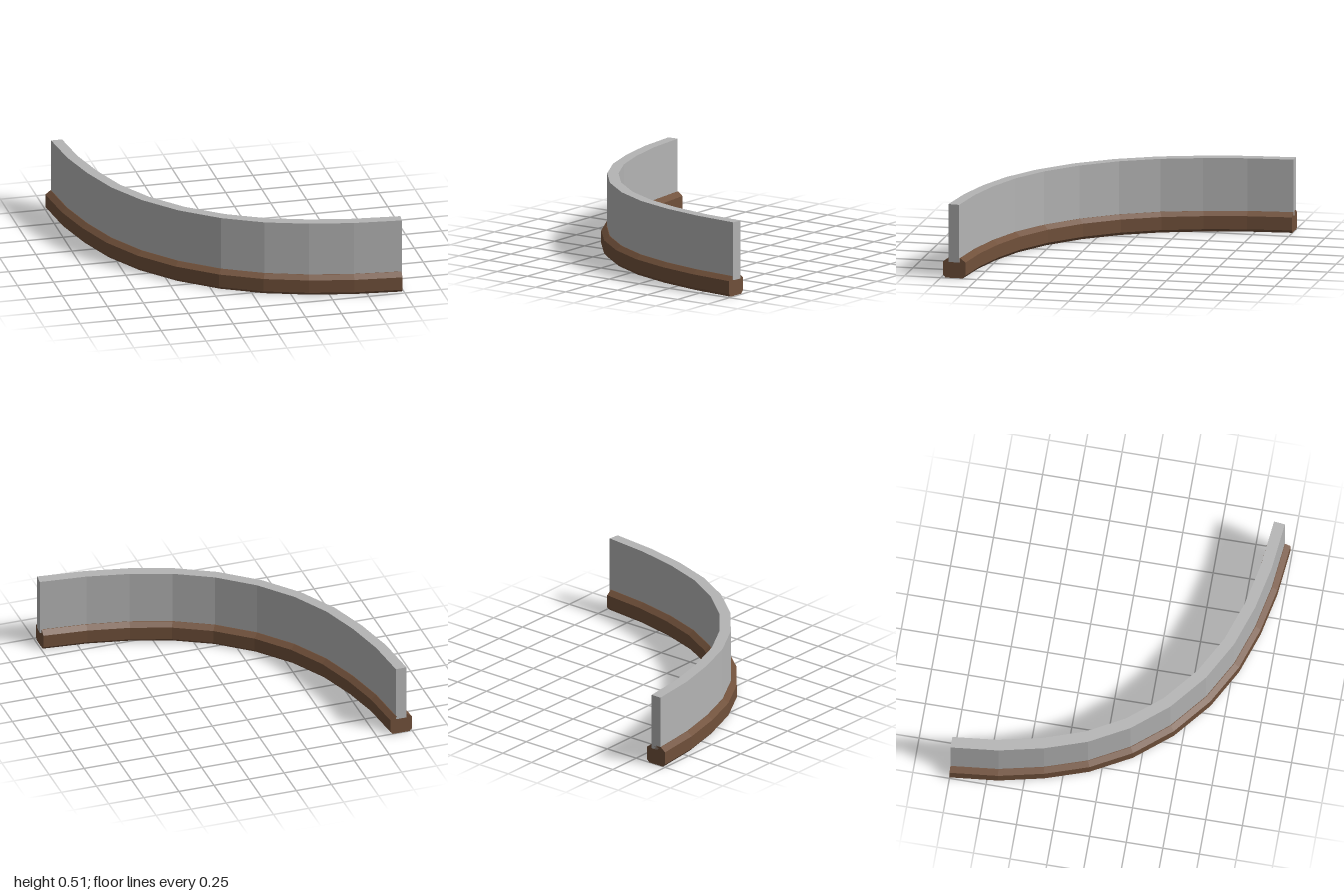
import * as THREE from 'three';

// Centre line of the curved wall in plan (x, z), from the back left to the front right.
const path = [
  [-0.922, -1], [-0.89, -0.685], [-0.824, -0.39], [-0.73, -0.11], [-0.588, 0.15], [-0.396, 0.383],
  [-0.156, 0.58], [0.104, 0.722], [0.383, 0.816], [0.674, 0.877], [0.988, 0.91],
];

// Sweeps a convex counter-clockwise profile (offset outward, y) along a plan path.
function sweep(points, profile, startNormal, endNormal, rise = 0) {
  const last = points.length - 1;
  const rings = points.map(([x, z], i) => {
    let n;
    if (i === 0) n = startNormal;
    else if (i === last) n = endNormal;
    else {
      const dx = points[i + 1][0] - points[i - 1][0];
      const dz = points[i + 1][1] - points[i - 1][1];
      const len = Math.hypot(dx, dz);
      n = [-dz / len, dx / len];
    }
    return profile.map(([o, y]) => [x + n[0] * o, y + (y > 0.4 ? rise * i / last : 0), z + n[1] * o]);
  });
  const pos = [];
  const tri = (a, b, c) => pos.push(...a, ...b, ...c);
  const count = profile.length;
  for (let i = 0; i < last; i++) {
    for (let j = 0; j < count; j++) {
      const k = (j + 1) % count;
      tri(rings[i][j], rings[i + 1][j], rings[i + 1][k]);
      tri(rings[i][j], rings[i + 1][k], rings[i][k]);
    }
  }
  // End caps
  for (let j = 1; j < count - 1; j++) {
    tri(rings[0][0], rings[0][j], rings[0][j + 1]);
    tri(rings[last][0], rings[last][j + 1], rings[last][j]);
  }
  const geometry = new THREE.BufferGeometry();
  geometry.setAttribute('position', new THREE.Float32BufferAttribute(pos, 3));
  geometry.computeVertexNormals();
  return geometry;
}

export function createModel() {
  const brown = new THREE.MeshStandardMaterial({ color: 0x70503a, flatShading: true });
  brown.name = 'brown base';
  const grey = new THREE.MeshStandardMaterial({ color: 0xb4b4b4, flatShading: true });
  grey.name = 'light grey wall';

  const group = new THREE.Group();
  group.name = 'curvedWall';
  const add = (name, geometry, material) => {
    const mesh = new THREE.Mesh(geometry, material);
    mesh.name = name;
    group.add(mesh);
  };

  // Plinth with chamfered edges, cut square to the axes at both ends
  const plinth = [
    [-0.06, 0], [0.06, 0], [0.078, 0.02], [0.078, 0.11],
    [0.042, 0.138], [-0.042, 0.138], [-0.078, 0.11], [-0.078, 0.02],
  ];
  add('base', sweep(path, plinth, [-1, 0], [0, 1]), brown);

  // Upright wall, its front end slightly past the plinth and square to the curve
  const wallPath = [...path.slice(0, -1), [0.996, 0.911]];
  const wall = [[-0.038, 0.11], [0.038, 0.11], [0.038, 0.5], [-0.038, 0.5]];
  add('wall', sweep(wallPath, wall, [-1, 0], [-0.105, 0.994], 0.009), grey);

  return group;
}
